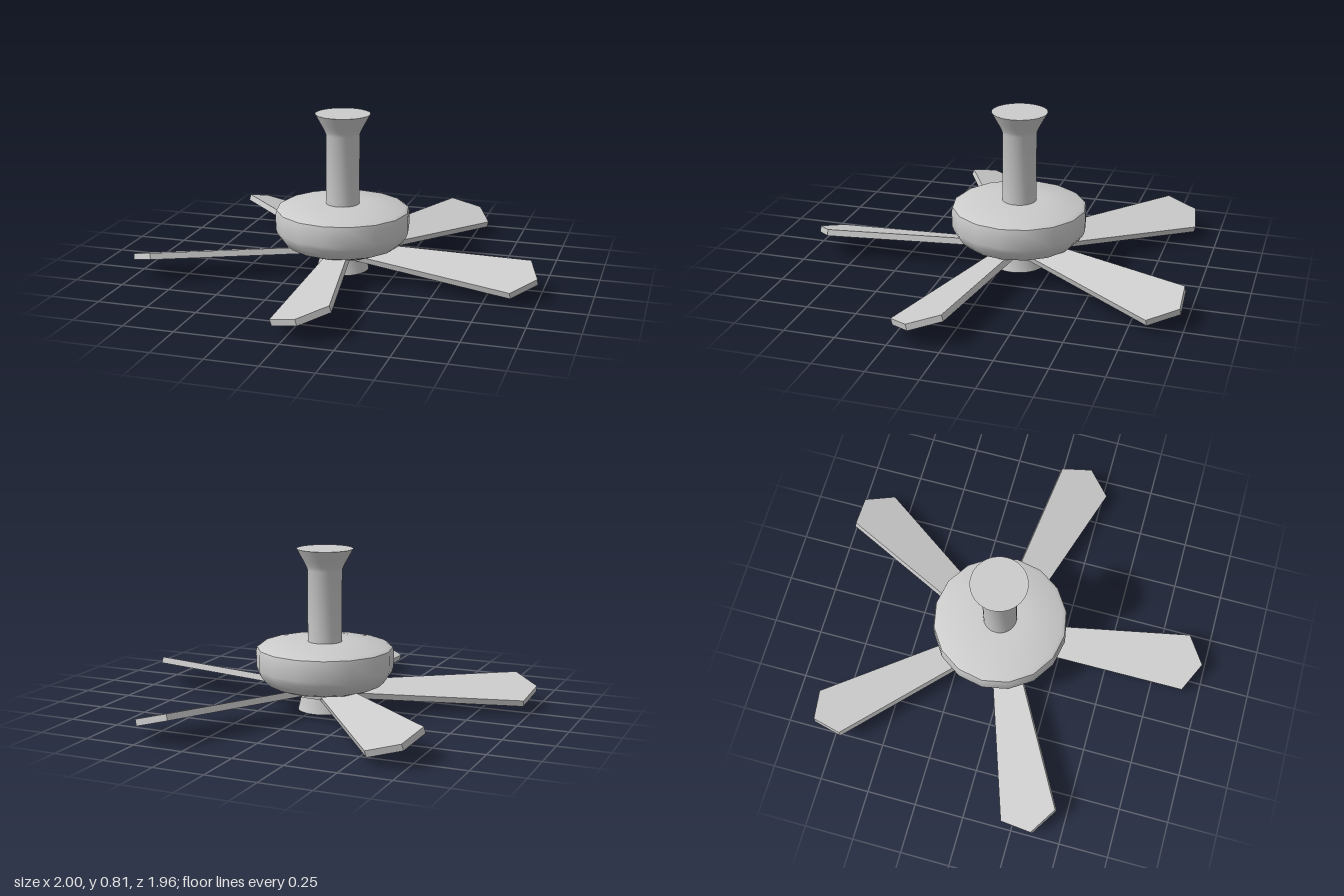
import * as THREE from 'three';
import { toCreasedNormals } from 'three/addons/utils/BufferGeometryUtils.js';

const material = new THREE.MeshStandardMaterial({ color: 0xcccccc });

function addMesh(parent, name, geometry) {
  const mesh = new THREE.Mesh(geometry, material);
  mesh.name = name;
  parent.add(mesh);
  return mesh;
}

// Turned part from [radius, y] pairs, listed bottom to top
function turned(points, sides, crease = 0.6) {
  const profile = points.map(([r, y]) => new THREE.Vector2(r, y));
  return toCreasedNormals(new THREE.LatheGeometry(profile, sides), crease);
}

// Tapered, pitched blade lying along +x
function bladeGeometry() {
  const thickness = 0.032;
  const shape = new THREE.Shape();
  shape.moveTo(0.09, -0.061);
  shape.lineTo(0.97, -0.142);
  shape.lineTo(1.055, 0);
  shape.lineTo(0.97, 0.142);
  shape.lineTo(0.09, 0.061);
  shape.closePath();
  const geometry = new THREE.ExtrudeGeometry(shape, { depth: thickness, bevelEnabled: false });
  geometry.translate(0, 0, -thickness / 2);
  geometry.rotateX(Math.PI / 2);
  geometry.rotateX(THREE.MathUtils.degToRad(17));
  return geometry;
}

export function createModel() {
  const fan = new THREE.Group();
  fan.name = 'ceilingFan';
  // The uneven blade spread puts the axis slightly off the middle
  fan.position.set(-0.035, 0, -0.07);

  // Down rod with flared ceiling mount
  addMesh(fan, 'downRod', turned([
    [0, 0.33], [0.085, 0.33], [0.085, 0.7], [0.093, 0.72], [0.106, 0.745],
    [0.122, 0.773], [0.139, 0.805], [0, 0.805],
  ], 40));

  // Motor housing with rounded shoulders
  addMesh(fan, 'motorHousing', turned([
    [0, 0.122], [0.255, 0.122], [0.285, 0.135], [0.312, 0.16], [0.333, 0.19],
    [0.341, 0.215], [0.341, 0.295], [0.336, 0.315], [0.317, 0.327],
    [0.135, 0.345], [0, 0.345],
  ], 16));

  // Hub that carries the blades
  addMesh(fan, 'bladeHub', turned([
    [0, 0.085], [0.16, 0.085], [0.16, 0.125], [0, 0.125],
  ], 20));

  // Flared cap under the hub
  addMesh(fan, 'bottomCap', turned([
    [0, 0], [0.133, 0], [0.112, 0.09], [0.112, 0.124], [0, 0.124],
  ], 40));

  // Five blades
  const geometry = bladeGeometry();
  for (let i = 0; i < 5; i++) {
    const blade = addMesh(fan, 'blade' + (i + 1), geometry);
    blade.position.y = 0.1;
    blade.rotation.y = -THREE.MathUtils.degToRad(12.2 + i * 72);
  }

  const model = new THREE.Group();
  model.name = 'model';
  model.add(fan);
  return model;
}
